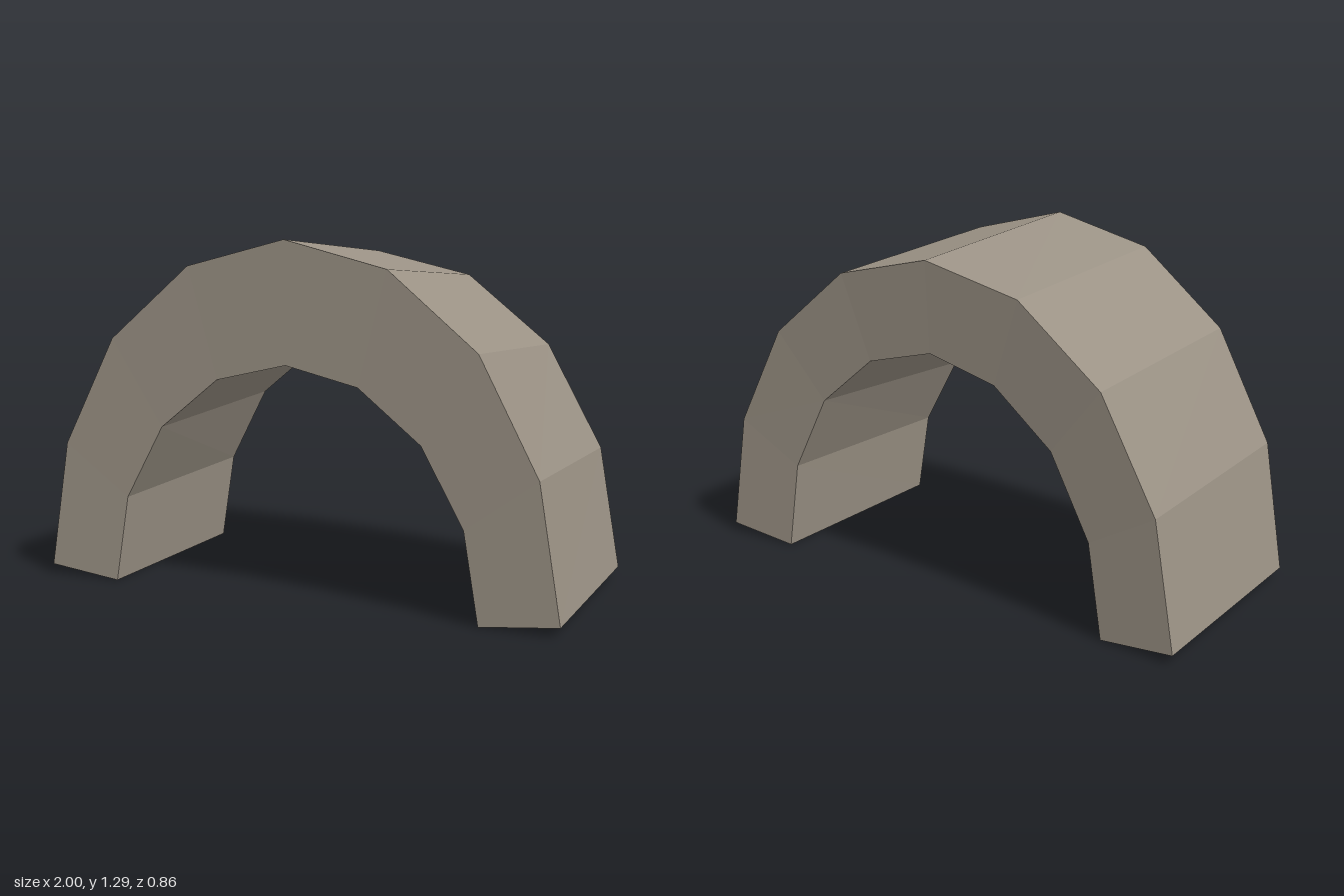
import * as THREE from 'three';

// Half profiles from the foot to the crown: [x, front y, back y]
const OUTER = [[1, 0.035, 0.035], [0.92, 0.515, 0.493], [0.707, 0.92, 0.88], [0.383, 1.19, 1.14], [0, 1.286, 1.229]];
const INNER = [[0.715, 0, 0], [0.66, 0.326, 0.343], [0.506, 0.601, 0.635], [0.274, 0.786, 0.825], [0, 0.85, 0.895]];

// Mirror a half profile into a full arc running from +x over the crown to -x
function arc(half, column, z) {
  const side = half.map((p) => new THREE.Vector3(p[0], p[column], z));
  const mirrored = side.slice(0, -1).reverse().map((p) => new THREE.Vector3(-p.x, p.y, z));
  return [...side, ...mirrored];
}

// Four-cornered ring swept along the arch, with separate flat faces
function archGeometry() {
  const outerFront = arc(OUTER, 1, 0.428);
  const outerBack = arc(OUTER, 2, -0.428);
  const innerFront = arc(INNER, 1, 0.419);
  const innerBack = arc(INNER, 2, -0.407);
  const positions = [];
  const quad = (a, b, c, d) => {
    for (const p of [a, b, c, a, c, d]) positions.push(p.x, p.y, p.z);
  };

  const last = outerFront.length - 1;
  for (let i = 0; i < last; i++) {
    const j = i + 1;
    quad(outerFront[i], outerBack[i], outerBack[j], outerFront[j]); // top
    quad(innerFront[i], innerFront[j], innerBack[j], innerBack[i]); // underside
    quad(outerFront[i], outerFront[j], innerFront[j], innerFront[i]); // front
    quad(outerBack[i], innerBack[i], innerBack[j], outerBack[j]); // back
  }
  // Feet
  quad(outerFront[0], innerFront[0], innerBack[0], outerBack[0]);
  quad(outerFront[last], outerBack[last], innerBack[last], innerFront[last]);

  const geometry = new THREE.BufferGeometry();
  geometry.setAttribute('position', new THREE.Float32BufferAttribute(positions, 3));
  geometry.computeVertexNormals();
  return geometry;
}

export function createModel() {
  const group = new THREE.Group();
  group.name = 'archModel';

  const stone = new THREE.MeshStandardMaterial({ color: 0x9b9285, flatShading: true });
  stone.name = 'warm grey stone';

  const arch = new THREE.Mesh(archGeometry(), stone);
  arch.name = 'arch';
  group.add(arch);
  return group;
}
